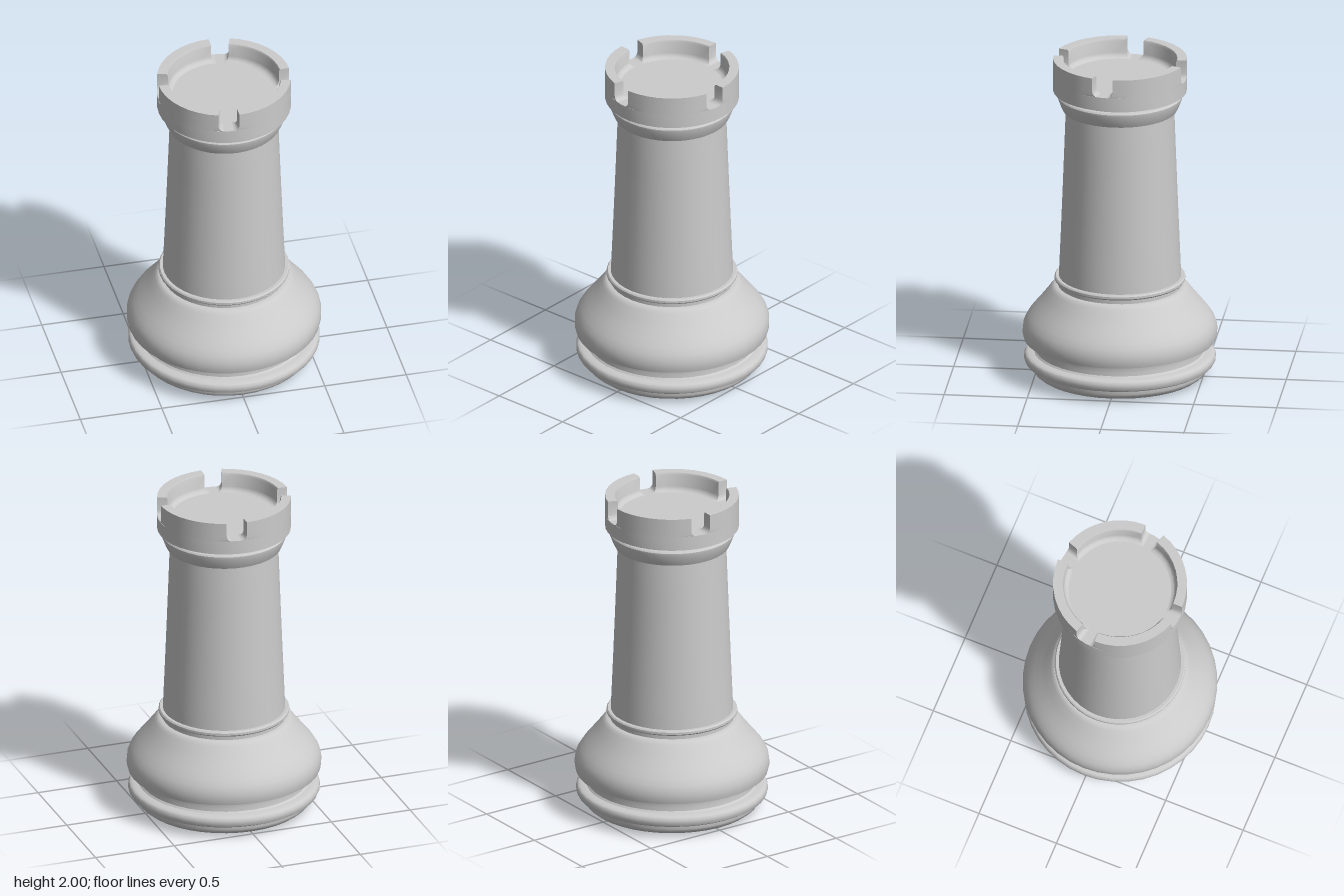
import * as THREE from 'three';
import { toCreasedNormals } from 'three/addons/utils/BufferGeometryUtils.js';

const SIDES = 40;
const CREASE = 0.6;
const GREY = new THREE.MeshStandardMaterial({ color: 0xcccccc });

// Turned parts, each a [radius, y] profile from bottom to top
const TURNED = {
  foot: [[0, 0], [0.46, 0.003], [0.495, 0.015], [0.518, 0.033], [0.525, 0.05], [0.525, 0.08]],
  footRing: [[0.52, 0.075], [0.55, 0.078], [0.565, 0.087], [0.573, 0.105], [0.573, 0.125],
    [0.565, 0.14], [0.55, 0.148], [0.5, 0.15]],
  groove: [[0.515, 0.148], [0.504, 0.16], [0.502, 0.18], [0.502, 0.21], [0.506, 0.225], [0.515, 0.236]],
  skirt: [[0.5, 0.235], [0.575, 0.235], [0.581, 0.26], [0.582, 0.285], [0.579, 0.315], [0.567, 0.347],
    [0.545, 0.382], [0.515, 0.42], [0.48, 0.462], [0.445, 0.506], [0.415, 0.547], [0.402, 0.562],
    [0.39, 0.569], [0.36, 0.57]],
  neck: [[0.37, 0.565], [0.37, 0.6]],
  neckRing: [[0.36, 0.598], [0.384, 0.598], [0.391, 0.606], [0.391, 0.62], [0.384, 0.628], [0.355, 0.628]],
  shaft: [[0.366, 0.62], [0.36, 0.76], [0.352, 0.95], [0.342, 1.2], [0.333, 1.44], [0.324, 1.69]],
  collar: [[0.32, 1.68], [0.342, 1.68], [0.352, 1.7], [0.373, 1.755], [0.374, 1.768], [0.367, 1.777], [0.34, 1.78]],
  headNeck: [[0.348, 1.775], [0.348, 1.805]],
  head: [[0.33, 1.8], [0.4, 1.8], [0.4, 1.885], [0, 1.885]],
};

// Battlement block: a box bent round the axis, with a filleted foot
function merlonGeometry() {
  const heights = [1.885, 1.889, 1.899, 1.915, 1.988, 2];
  const flare = [0.03, 0.016, 0.006, 0, 0, 0];
  const geo = new THREE.BoxGeometry(1, 1, 1, 1, heights.length - 1, 8);
  const p = geo.attributes.position;
  const sweep = THREE.MathUtils.degToRad(72);
  for (let i = 0; i < p.count; i++) {
    const row = Math.round((p.getY(i) + 0.5) * (heights.length - 1));
    const t = p.getZ(i);
    const inner = row === heights.length - 1 ? 0.343 : 0.337;
    const r = p.getX(i) > 0 ? 0.4 : inner - flare[row];
    const end = Math.abs(t) > 0.49 ? Math.sign(t) * flare[row] / 0.4 : 0;
    const a = (t - 0.5) * sweep + end;
    p.setXYZ(i, r * Math.cos(a), heights[row], r * Math.sin(a));
  }
  return toCreasedNormals(geo, CREASE);
}

export function createModel() {
  const model = new THREE.Group();
  model.name = 'rook';

  for (const [name, profile] of Object.entries(TURNED)) {
    const lathe = new THREE.LatheGeometry(profile.map(([r, y]) => new THREE.Vector2(r, y)), SIDES);
    const mesh = new THREE.Mesh(toCreasedNormals(lathe, CREASE), GREY);
    mesh.name = name;
    model.add(mesh);
  }

  // Four battlements with a gap between each pair
  const battlements = new THREE.Group();
  battlements.name = 'battlements';
  const merlon = merlonGeometry();
  for (let i = 0; i < 4; i++) {
    const mesh = new THREE.Mesh(merlon, GREY);
    mesh.name = `merlon${i + 1}`;
    mesh.rotation.y = i * Math.PI / 2;
    battlements.add(mesh);
  }
  model.add(battlements);
  return model;
}
